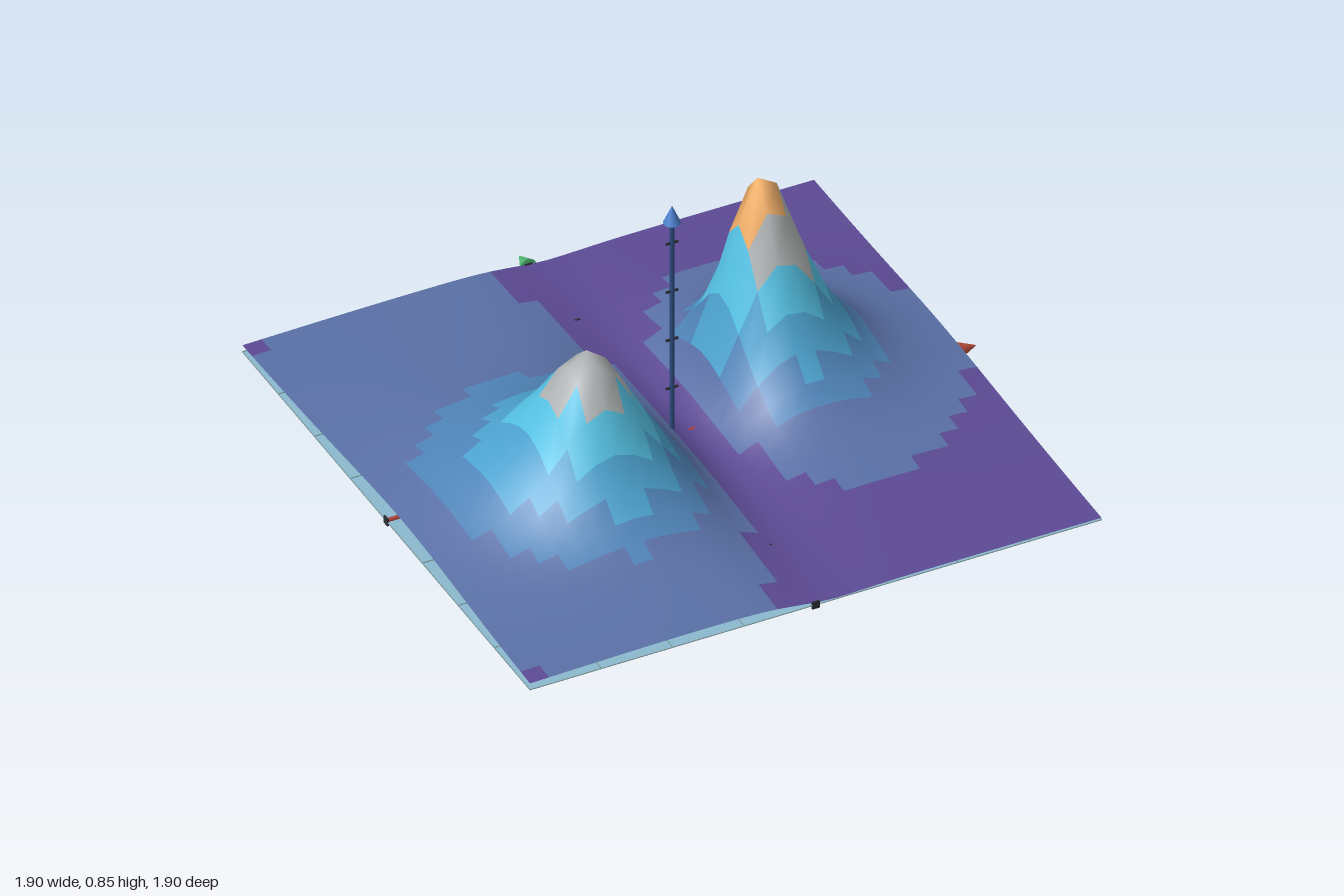
import * as THREE from 'three';

const CX = -0.07, CZ = 0.06, SIZE = 1.84, BASE = 0.03, CELLS = 30;

const paint = (color) => new THREE.MeshStandardMaterial({ color });

// One rounded hill whose lower slopes lean towards the middle of the plate
function hill(x, z, { cx, cz, height, radius, power, lean }) {
  const dx = x - cx, dz = z - cz;
  const r = Math.hypot(dx, dz - lean * Math.hypot(dx, dz));
  return height / Math.pow(1 + (r / radius) ** 2, power);
}

const LEFT_HILL = { cx: -0.44, cz: 0.27, height: 0.55, radius: 0.2, power: 1, lean: -0.2 };
const RIGHT_HILL = { cx: 0.315, cz: -0.14, height: 0.69, radius: 0.198, power: 1.6, lean: 0.2 };

// Height over the plate: two hills separated by a valley along x = 0
function heightAt(x, z) {
  const valley = 1 - Math.exp(-((x / (x < 0 ? 0.15 : 0.13)) ** 2));
  return 0.003 + hill(x, z, x < 0 ? LEFT_HILL : RIGHT_HILL) * valley;
}

// Height bands, each with its own colour
const BANDS = [
  ['purpleBand', 0.025, 0x5c4a94],
  ['slateBand', 0.095, 0x5a70a6],
  ['blueBand', 0.17, 0x4f84b8],
  ['skyBand', 0.27, 0x4ca2cf],
  ['cyanBand', 0.42, 0x55c2e4],
  ['greyBand', 0.54, 0xb0b4b4],
  ['orangeBand', Infinity, 0xf2ae68],
];

function makeSurface() {
  const group = new THREE.Group();
  group.name = 'heightSurface';
  const sheet = new THREE.PlaneGeometry(SIZE, SIZE, CELLS, CELLS);
  sheet.rotateX(-Math.PI / 2).translate(CX, BASE, CZ);
  const pos = sheet.attributes.position;
  for (let i = 0; i < pos.count; i++) {
    pos.setY(i, BASE + heightAt(pos.getX(i), pos.getZ(i)));
  }
  sheet.computeVertexNormals();

  // Sort the square cells into the colour bands by mean height
  const faces = BANDS.map(() => []);
  const index = sheet.index.array;
  for (let i = 0; i < index.length; i += 6) {
    const cell = Array.from(index.slice(i, i + 6));
    const corners = [...new Set(cell)];
    const mean = corners.reduce((sum, v) => sum + pos.getY(v), 0) / 4 - BASE;
    faces[BANDS.findIndex((band) => mean < band[1])].push(...cell);
  }
  BANDS.forEach(([name, , color], b) => {
    const geometry = new THREE.BufferGeometry();
    geometry.setAttribute('position', pos);
    geometry.setAttribute('normal', sheet.attributes.normal);
    geometry.setIndex(faces[b]);
    const material = paint(color);
    material.side = THREE.DoubleSide;
    const mesh = new THREE.Mesh(geometry, material);
    mesh.name = name;
    group.add(mesh);
  });
  return group;
}

// Arrow along +y from the local origin, with rod from start to end and a cone tip
function makeArrow(name, start, end, color, rodColor) {
  const group = new THREE.Group();
  group.name = name;
  const rod = new THREE.Mesh(new THREE.CylinderGeometry(0.007, 0.007, end - start, 10), paint(rodColor));
  rod.name = 'rod';
  rod.position.y = (start + end) / 2;
  const tip = new THREE.Mesh(new THREE.ConeGeometry(0.026, 0.06, 16), paint(color));
  tip.name = 'tip';
  tip.position.y = end + 0.03;
  group.add(rod, tip);
  return group;
}

function addBox(parent, name, size, at, material) {
  const mesh = new THREE.Mesh(new THREE.BoxGeometry(...size), material);
  mesh.name = name;
  mesh.position.set(...at);
  parent.add(mesh);
}

export function createModel() {
  const model = new THREE.Group();
  model.name = 'heightPlot';
  model.add(makeSurface());

  // Flat plate under the surface
  const plateMaterial = paint(0x8cbace);
  plateMaterial.side = THREE.DoubleSide;
  const plate = new THREE.Mesh(new THREE.PlaneGeometry(SIZE, SIZE), plateMaterial);
  plate.name = 'basePlate';
  plate.rotation.x = -Math.PI / 2;
  plate.position.set(CX, BASE - 0.002, CZ);
  model.add(plate);

  // Thin grid lines on the plate
  const gridMaterial = paint(0x7f9da3);
  for (let i = 0; i <= 8; i++) {
    const offset = (i / 8 - 0.5) * SIZE;
    addBox(model, 'gridLine', [0.003, 0.002, SIZE], [CX + offset, BASE, CZ], gridMaterial);
    addBox(model, 'gridLine', [SIZE, 0.002, 0.003], [CX, BASE, CZ + offset], gridMaterial);
  }

  // Three axes meeting at the middle of the plate
  const xAxis = makeArrow('xAxis', -0.92, 0.92, 0xc0503f, 0xb04038);
  xAxis.rotation.z = -Math.PI / 2;
  const depthAxis = makeArrow('depthAxis', -0.92, 0.92, 0x4fb870, 0x2f6b45);
  depthAxis.rotation.x = -Math.PI / 2;
  const heightAxis = makeArrow('heightAxis', 0, 0.76, 0x4a80cc, 0x2c4a7c);
  for (const axis of [xAxis, depthAxis, heightAxis]) {
    axis.position.set(CX, BASE, CZ);
    model.add(axis);
  }
  const hub = new THREE.Mesh(new THREE.SphereGeometry(0.016, 16, 12), paint(0x333a40));
  hub.name = 'axisHub';
  hub.position.set(CX, BASE, CZ);
  model.add(hub);

  // Tick marks
  const tickMaterial = paint(0x2a2f36);
  for (let i = -3; i <= 3; i++) {
    if (i === 0) continue;
    const offset = (i / 6) * SIZE;
    addBox(model, 'xTick', [0.006, 0.024, 0.024], [CX + offset, BASE, CZ], tickMaterial);
    addBox(model, 'depthTick', [0.024, 0.024, 0.006], [CX, BASE, CZ + offset], tickMaterial);
  }
  for (let i = 1; i <= 4; i++) {
    addBox(model, 'heightTick', [0.04, 0.006, 0.006], [CX, BASE + i * 0.172, CZ], tickMaterial);
  }
  return model;
}
